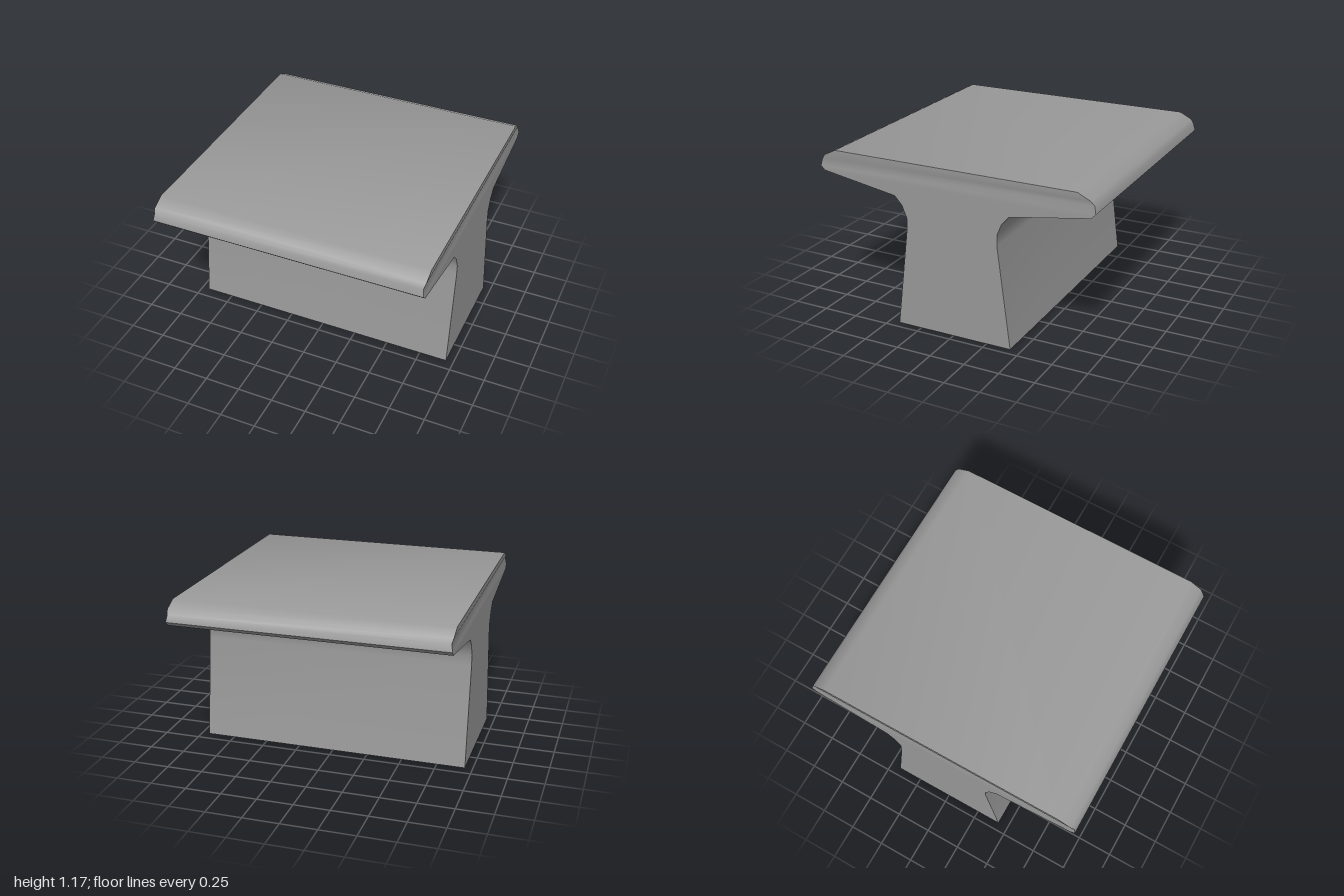
import * as THREE from 'three';
import { toCreasedNormals } from 'three/addons/utils/BufferGeometryUtils.js';

// Horizontal sections from the foot up: [height, half depth, half width]
const sections = [
  [0, 0.425, 0.946],
  [0.717, 0.333, 0.946],
  [0.79, 0.333, 0.946],
  [0.873, 0.368, 0.946],
  [0.93, 0.42, 0.946],
  [1.02, 0.97, 0.946],
  [1.05, 1.0, 0.946],
  [1.1, 0.988, 0.937],
  [1.13, 0.965, 0.945],
  [1.173, 0.878, 0.946],
];

// Joins rectangular sections into one closed solid
function loftRectangles(rows) {
  const positions = [];
  const index = [];
  for (const [y, d, w] of rows) {
    positions.push(-w, y, d, w, y, d, w, y, -d, -w, y, -d);
  }
  for (let r = 0; r < rows.length - 1; r++) {
    for (let k = 0; k < 4; k++) {
      const a = r * 4 + k;
      const b = r * 4 + ((k + 1) % 4);
      index.push(a, b, b + 4, a, b + 4, a + 4);
    }
  }
  const t = (rows.length - 1) * 4;
  index.push(0, 2, 1, 0, 3, 2); // underside
  index.push(t, t + 1, t + 2, t, t + 2, t + 3); // top face
  const geometry = new THREE.BufferGeometry();
  geometry.setAttribute('position', new THREE.Float32BufferAttribute(positions, 3));
  geometry.setIndex(index);
  return toCreasedNormals(geometry, THREE.MathUtils.degToRad(33));
}

export function createModel() {
  const group = new THREE.Group();
  group.name = 'pedestalBlock';

  // Tapered foot, flared neck and wide slab with softened edges
  const material = new THREE.MeshStandardMaterial({ color: 0x999999 });
  const body = new THREE.Mesh(loftRectangles(sections), material);
  body.name = 'pedestalAndSlab';
  group.add(body);
  return group;
}
